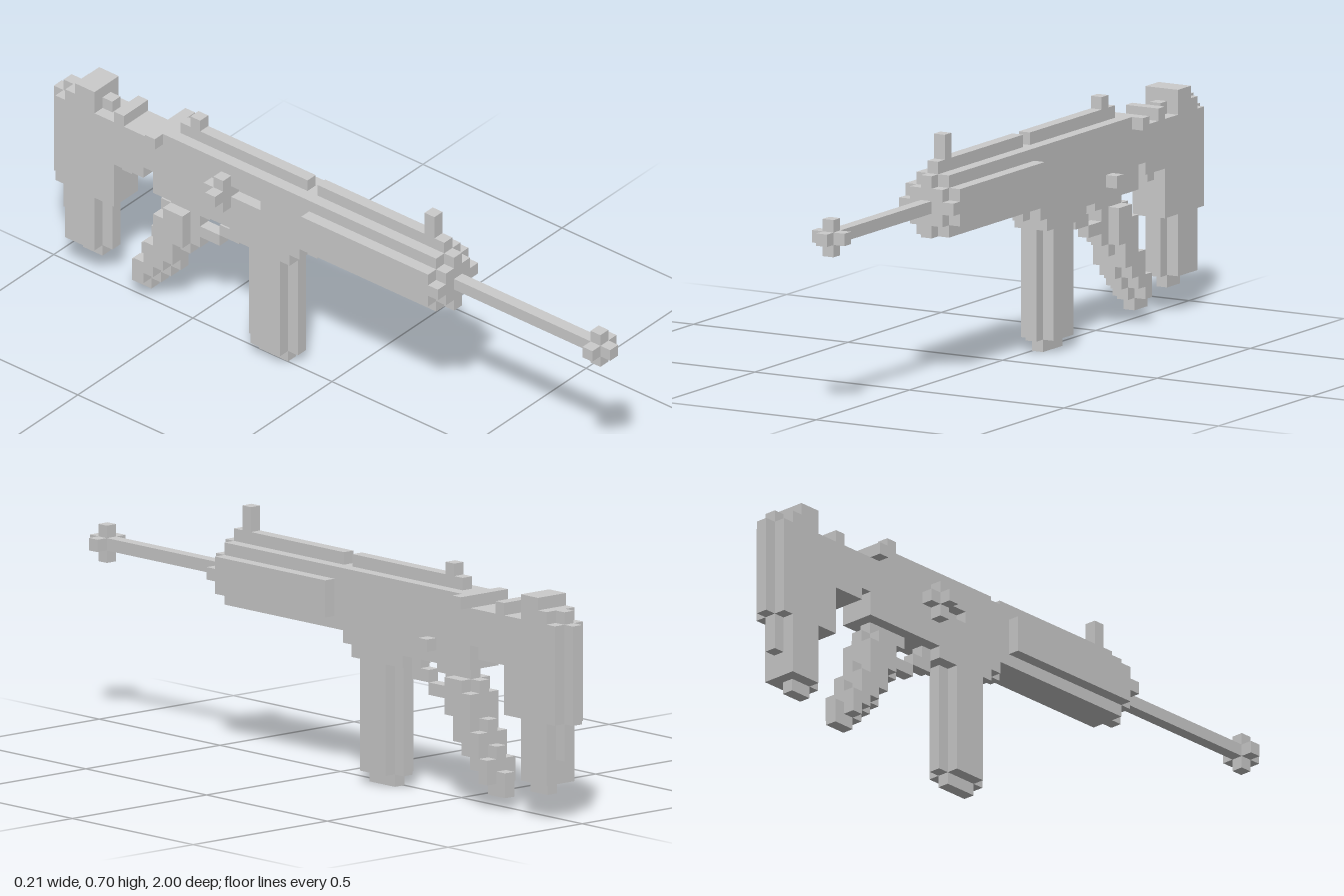
import * as THREE from 'three';

const U = 2 / 57; // edge of one block
const material = new THREE.MeshStandardMaterial({ color: 0xcccccc, flatShading: true });

// Blocks are counted: x from the centre column (0), y from the ground,
// k from the muzzle towards the back. All ranges are inclusive.
function part(name, ...blocks) {
  const group = new THREE.Group();
  group.name = name;
  for (const [x0, x1, y0, y1, k0, k1] of blocks) {
    const w = x1 - x0 + 1, h = y1 - y0 + 1, d = k1 - k0 + 1;
    const mesh = new THREE.Mesh(new THREE.BoxGeometry(w * U, h * U, d * U), material);
    mesh.position.set((x0 + w / 2) * U, (y0 + h / 2) * U, 1 - (k0 + d / 2) * U);
    mesh.name = name + 'Block';
    group.add(mesh);
  }
  return group;
}

// Same block on both sides of the centre column
const both = (x, y0, y1, k0, k1) => [[x, x, y0, y1, k0, k1], [-x, -x, y0, y1, k0, k1]];

export function createModel() {
  const model = new THREE.Group();

  // Barrel with a cross-shaped muzzle
  model.add(part('barrel', [0, 0, 14, 14, 0, 15]));
  model.add(part('muzzleCross', [0, 0, 15, 15, 1, 1], [0, 0, 13, 13, 1, 1], ...both(1, 14, 14, 1, 1)));

  // Handguard: stepped cross-section, with a smaller front cap
  model.add(part('handguardCap',
    [0, 0, 12, 16, 16, 16], ...both(1, 13, 15, 16, 16), ...both(2, 14, 14, 16, 16)));
  model.add(part('handguard',
    [-1, 1, 12, 16, 17, 29], ...both(2, 13, 15, 17, 29)));

  // Sights and top rail
  model.add(part('topRail', [0, 0, 17, 17, 17, 29], [0, 0, 17, 17, 31, 43]));
  model.add(part('frontSight', [0, 0, 18, 19, 18, 18]));
  model.add(part('rearSight', [0, 0, 18, 18, 42, 42]));
  model.add(part('crossBar', [-2, 2, 16, 16, 45, 45]));

  // Receiver, with an ejection slot left open on the -x side
  model.add(part('receiver',
    [-1, 1, 12, 16, 30, 30], [0, 0, 11, 11, 30, 30],
    [0, 1, 11, 16, 31, 44],
    [-1, -1, 11, 13, 31, 44], [-1, -1, 15, 16, 31, 44],
    [-1, -1, 14, 14, 31, 34], [-1, -1, 14, 14, 38, 44],
    [-1, 1, 10, 10, 32, 37],
    [-1, 1, 11, 15, 45, 45], [-1, 1, 13, 15, 46, 46], [-1, 1, 12, 15, 47, 49],
    [0, 0, 11, 11, 49, 49], [-1, 1, 16, 16, 49, 49]));
  model.add(part('chargingHandle',
    [-2, -2, 13, 15, 38, 38], [-2, -2, 14, 14, 39, 39], [-3, -3, 14, 14, 38, 38]));
  model.add(part('selector', [2, 2, 12, 12, 41, 41]));

  // Magazine
  model.add(part('magazine',
    [0, 0, 1, 9, 32, 36], ...both(1, 1, 9, 33, 35), [0, 0, 0, 0, 33, 35]));

  // Trigger and its guard
  model.add(part('triggerGuard', [0, 0, 9, 10, 38, 38], [0, 0, 9, 9, 39, 39], [0, 0, 8, 8, 40, 41]));
  model.add(part('trigger', [0, 0, 10, 10, 41, 41]));

  // Pistol grip: slanted stack, [bottom, top] for each step back
  const steps = [[7, 10], [6, 10], [4, 10], [3, 9], [2, 6], [1, 4], [1, 2]];
  const grip = [];
  steps.forEach(([lo, hi], i) => {
    grip.push([0, 0, lo, hi, 42 + i, 42 + i]);
    if (i > 0 && i < 6) grip.push(...both(1, lo + 1, hi - 1, 42 + i, 42 + i));
  });
  model.add(part('pistolGrip', ...grip));

  // Shoulder stock: wide core with a narrow middle ridge
  model.add(part('stock',
    [-1, 1, 8, 15, 50, 55], [0, 0, 8, 15, 56, 56],
    [0, 0, 3, 7, 51, 54], [0, 0, 5, 7, 55, 55], [0, 0, 2, 2, 52, 53],
    ...both(1, 3, 7, 52, 54),
    [-1, 1, 16, 16, 52, 54], [0, 0, 16, 16, 51, 51], [0, 0, 16, 16, 55, 55],
    [-1, 1, 17, 17, 52, 53]));

  return model;
}
